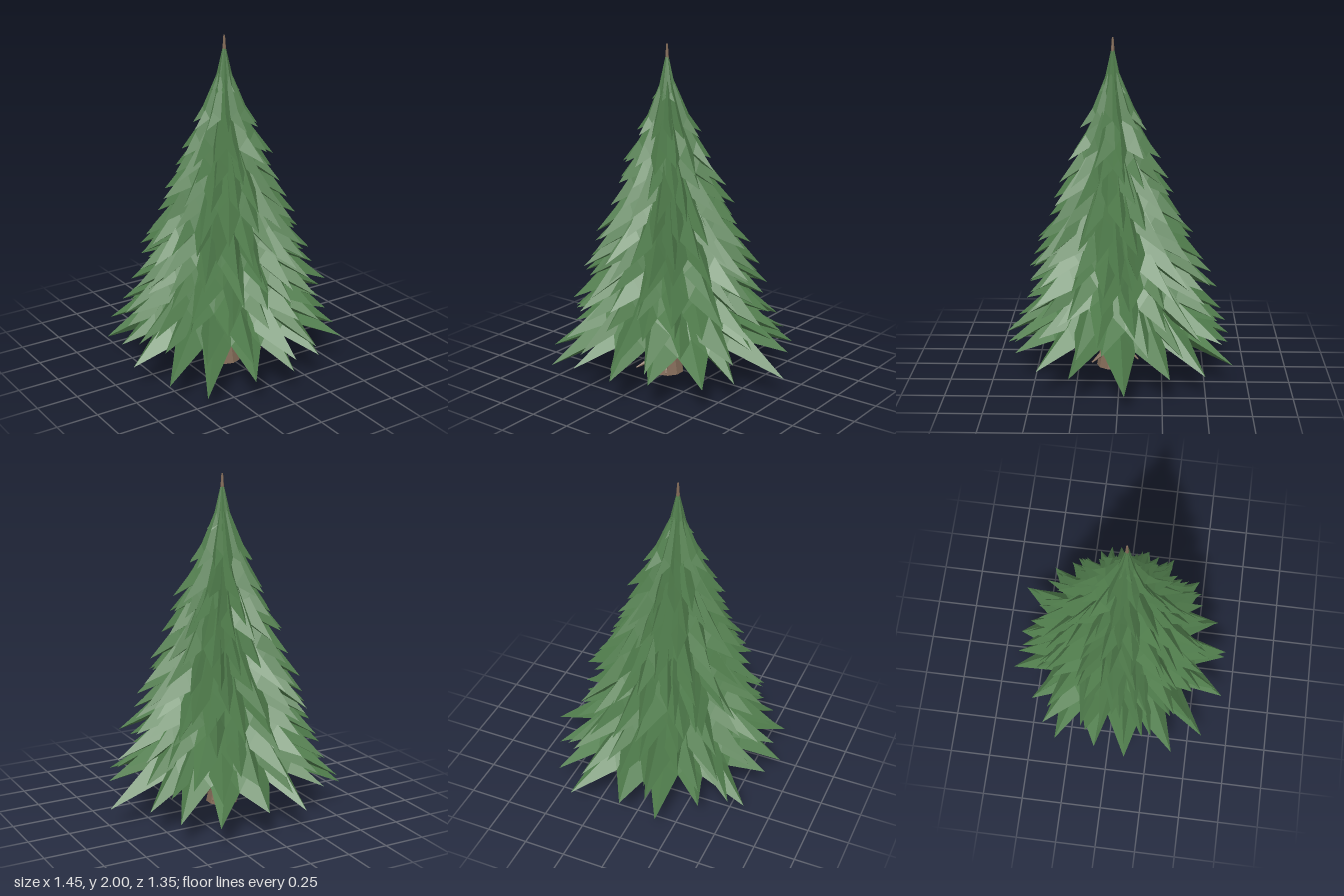
import * as THREE from 'three';

const TRUNK_X = -0.02, TRUNK_Z = 0.045;

// Small seeded generator, returns values in -1..1
function seeded(seed) {
  let s = seed;
  return () => {
    s = (s * 16807) % 2147483647;
    return (s / 2147483647) * 2 - 1;
  };
}

function flat(geometry) {
  const g = geometry.index ? geometry.toNonIndexed() : geometry;
  g.computeVertexNormals();
  return g;
}

// One closed skirt of folded, pointed fronds; f runs from 0 (bottom tier) to 1 (top tier)
function tierGeometry(tipY, radius, topY, count, f, rand) {
  const at = (a, r, y) => [Math.cos(a) * r + TRUNK_X * f, y, Math.sin(a) * r + TRUNK_Z * f];
  const step = (Math.PI * 2) / count;
  const start = rand() * Math.PI;
  const midY = tipY + 0.36 * radius * (0.85 + 0.75 * f);
  const apex = [TRUNK_X, topY, TRUNK_Z];
  const under = [TRUNK_X, midY - 0.03 * radius, TRUNK_Z];

  const valleys = [];
  for (let k = 0; k < count; k++) {
    const r = radius * (0.67 - 0.1 * f + 0.05 * rand());
    const drop = radius * (0.15 + 0.13 * f + 0.03 * rand());
    valleys.push(at(start + (k + rand() * 0.12) * step, r, midY - drop));
  }

  const pos = [];
  const tri = (a, b, c) => pos.push(...a, ...b, ...c);
  for (let k = 0; k < count; k++) {
    const v0 = valleys[k], v1 = valleys[(k + 1) % count];
    const a = start + (k + 0.5 + rand() * 0.16) * step;
    const grow = rand() * 0.09;
    const ridge = at(a, radius * 0.64, midY + radius * 0.03 * rand());
    const tip = at(a + rand() * step * 0.15, radius * (1 + grow), tipY - radius * (grow * 0.7 + 0.04 * rand()));
    tri(apex, ridge, v0);
    tri(apex, v1, ridge);
    tri(v0, ridge, tip);
    tri(ridge, v1, tip);
    tri(under, v0, tip);
    tri(under, tip, v1);
  }
  const g = new THREE.BufferGeometry();
  g.setAttribute('position', new THREE.Float32BufferAttribute(pos, 3));
  return flat(g);
}

export function createModel() {
  const tree = new THREE.Group();
  tree.name = 'firTree';
  const needles = new THREE.MeshStandardMaterial({ color: 0x507d4c });
  needles.name = 'needleGreen';
  const bark = new THREE.MeshStandardMaterial({ color: 0x826a57 });
  bark.name = 'barkBrown';

  // Trunk, flared at the foot and thinning to the tip
  const profile = [[0, 0], [0.098, 0], [0.078, 0.1], [0.064, 0.25], [0.045, 0.8], [0.015, 1.6], [0.01, 1.93], [0.005, 2], [0, 2]]
    .map(([r, y]) => new THREE.Vector2(r, y));
  const trunk = new THREE.Mesh(flat(new THREE.LatheGeometry(profile, 10)), bark);
  trunk.name = 'trunk';
  trunk.position.set(TRUNK_X, 0, TRUNK_Z);
  tree.add(trunk);

  // Bare twigs: tip position and the height where each leaves the trunk
  const twigs = new THREE.Group();
  twigs.name = 'twigs';
  const up = new THREE.Vector3(0, 1, 0);
  [
    [0.19, 0.115, -0.11, 0.19], [-0.16, 0.03, -0.15, 0.13], [-0.15, 0.03, 0.19, 0.13],
    [0.08, 0.135, 0.29, 0.2], [-0.28, 0.195, 0.08, 0.23], [0.06, 0.04, 0.17, 0.13], [0.1, 0.05, -0.06, 0.13],
  ].forEach(([x, y, z, rootY]) => {
    const root = new THREE.Vector3(TRUNK_X, rootY, TRUNK_Z);
    const tip = new THREE.Vector3(x, y, z);
    const dir = tip.clone().sub(root);
    const twig = new THREE.Mesh(flat(new THREE.CylinderGeometry(0.004, 0.03, dir.length(), 6)), bark);
    twig.name = 'twig';
    twig.position.copy(root).add(tip).multiplyScalar(0.5);
    twig.quaternion.setFromUnitVectors(up, dir.normalize());
    twigs.add(twig);
  });
  tree.add(twigs);

  // Foliage tiers: tip height, radius, top height, frond count
  const rand = seeded(90210);
  const foliage = new THREE.Group();
  foliage.name = 'foliage';
  const tiers = [
    [0.16, 0.7, 0.9, 17], [0.27, 0.64, 1.0, 17], [0.37, 0.6, 1.1, 17], [0.49, 0.57, 1.2, 17],
    [0.6, 0.53, 1.29, 17], [0.7, 0.5, 1.37, 16], [0.81, 0.455, 1.45, 16], [0.92, 0.42, 1.52, 15],
    [1.06, 0.36, 1.6, 14], [1.18, 0.31, 1.66, 13], [1.3, 0.27, 1.76, 12],
    [1.48, 0.19, 1.88, 11], [1.68, 0.085, 1.97, 8],
  ];
  tiers.forEach(([tipY, radius, topY, count], i) => {
    const tier = new THREE.Mesh(tierGeometry(tipY, radius, topY, count, i / (tiers.length - 1), rand), needles);
    tier.name = 'foliageTier' + (i + 1);
    foliage.add(tier);
  });
  tree.add(foliage);
  return tree;
}
